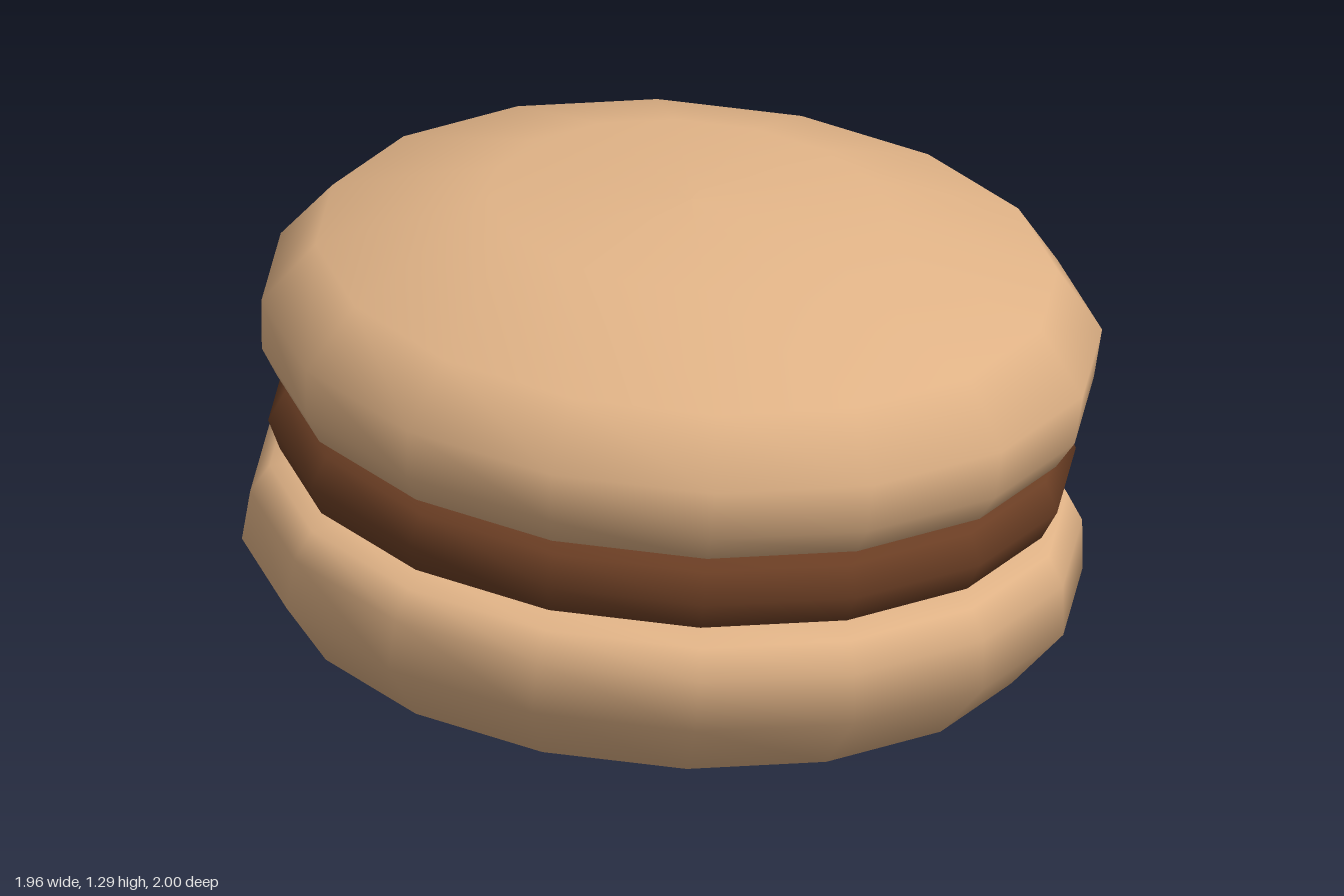
import * as THREE from 'three';

const SIDES = 16;

// Revolves [radius, height] pairs, listed from bottom to top
function lathe(name, profile, material) {
  const points = profile.map(([r, h]) => new THREE.Vector2(r, h));
  const mesh = new THREE.Mesh(new THREE.LatheGeometry(points, SIDES), material);
  mesh.name = name;
  return mesh;
}

export function createModel() {
  const biscuit = new THREE.MeshStandardMaterial({ color: 0xdeb185 });
  biscuit.name = 'biscuit tan';
  const chocolate = new THREE.MeshStandardMaterial({ color: 0x6b3e24 });
  chocolate.name = 'chocolate brown';

  // Domed shell with a rounded rim and a flat inner face
  const shell = [
    [0, 0.1], [0.83, 0.1], [0.915, 0.113], [0.955, 0.18], [0.965, 0.3],
    [0.852, 0.446], [0.464, 0.576], [0, 0.592],
  ];
  const mirroredShell = shell.map(([r, h]) => [r, -h]).reverse();

  // Thin disc with a bulging edge
  const cream = [
    [0, -0.1], [0.825, -0.1], [0.895, -0.07], [0.927, 0],
    [0.895, 0.07], [0.825, 0.1], [0, 0.1],
  ];

  const model = new THREE.Group();
  model.name = 'sandwichBiscuit';
  model.add(
    lathe('topShell', shell, biscuit),
    lathe('filling', cream, chocolate),
    lathe('bottomShell', mirroredShell, biscuit),
  );

  // The whole biscuit leans towards its front left
  const axis = new THREE.Vector3(0.062, 1, 0.157).normalize();
  model.quaternion.setFromUnitVectors(new THREE.Vector3(0, 1, 0), axis);
  model.position.y = 0.645;

  const root = new THREE.Group();
  root.name = 'biscuit';
  root.add(model);
  return root;
}
